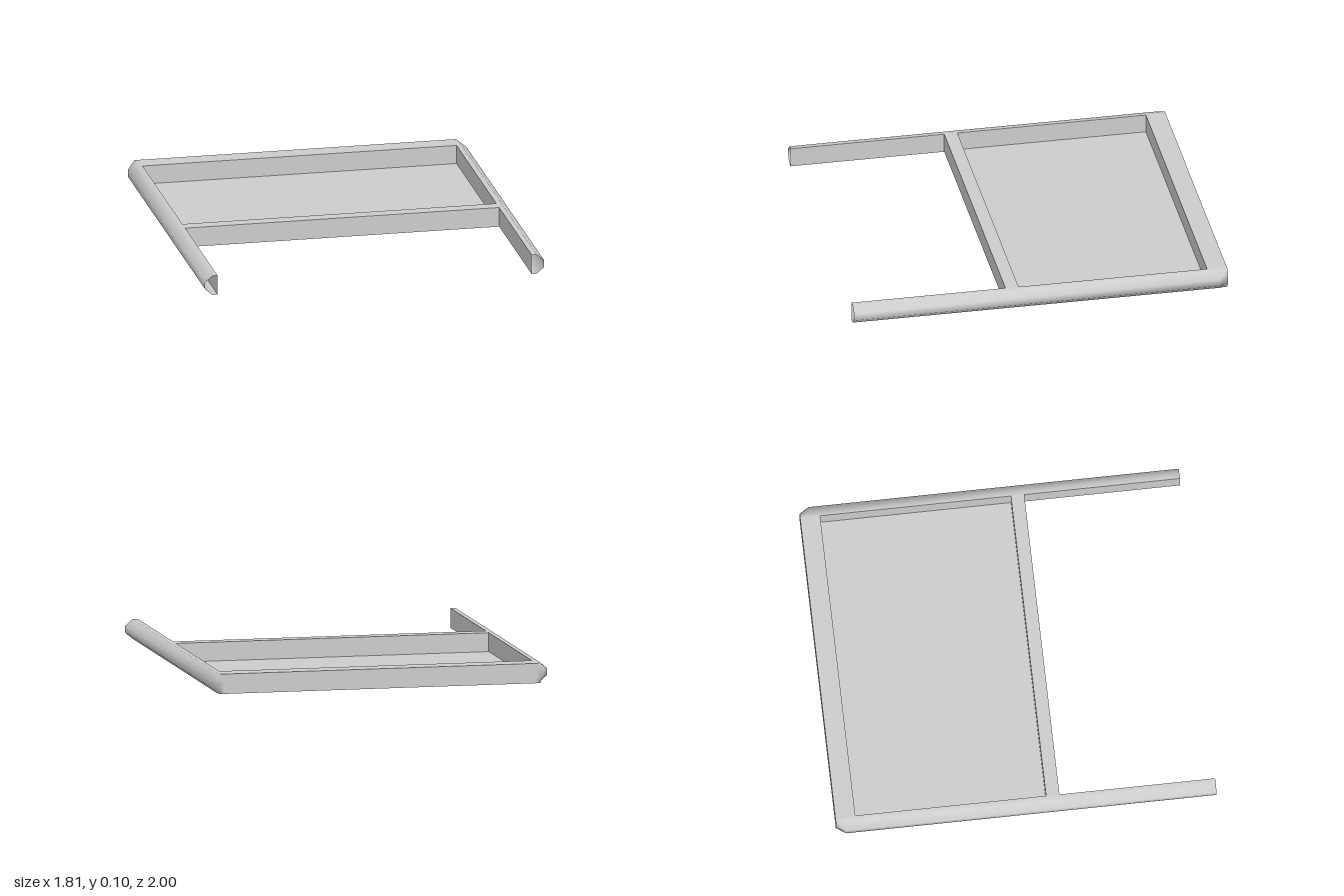
import * as THREE from 'three';

const H = 0.105;      // overall height
const INNER = 0.84;   // inner face of the rails

// Hollow rail skin: a rounded outer profile swept along z, bevelled and closed at the back
function railSkin(side) {
  const profile = [[0, H], [0.027, H], [0.067, 0.071], [0.067, 0.034], [0.027, 0], [0, 0]];
  const bevel = [0, 0.02, 0.034, 0.034, 0.02, 0];
  const sections = [
    [1, (p) => p[0]],
    [-0.95, (p) => p[0]],
    [-1, (p, j) => bevel[j]],
    [-1, () => 0],
  ];
  const n = profile.length, pos = [], idx = [];
  for (const [z, outX] of sections) {
    profile.forEach((p, j) => pos.push(side * (INNER + outX(p, j)), p[1], z));
  }
  for (let i = 0; i < sections.length - 1; i++) {
    for (let j = 0; j < n - 1; j++) {
      const a = i * n + j, b = a + 1, c = a + n, d = c + 1;
      if (side > 0) idx.push(a, b, c, b, d, c);
      else idx.push(a, c, b, b, c, d);
    }
  }
  const g = new THREE.BufferGeometry();
  g.setAttribute('position', new THREE.Float32BufferAttribute(pos, 3));
  g.setIndex(idx);
  g.computeVertexNormals();
  return g;
}

export function createModel() {
  const model = new THREE.Group();
  model.name = 'trayFrame';
  const grey = new THREE.MeshStandardMaterial({ color: 0xcccccc, side: THREE.DoubleSide });
  grey.name = 'lightGrey';

  const add = (name, geometry, x, y, z) => {
    const mesh = new THREE.Mesh(geometry, grey);
    mesh.name = name;
    mesh.position.set(x, y, z);
    model.add(mesh);
    return mesh;
  };

  // Side rails: open at the front, with a flat wall on the inside
  for (const side of [1, -1]) {
    const label = side > 0 ? 'left' : 'right';
    add(label + 'Rail', railSkin(side), 0, 0, 0);
    const wall = add(label + 'RailInnerWall', new THREE.PlaneGeometry(2, H), side * INNER, H / 2, 0);
    wall.rotation.y = -side * Math.PI / 2;
  }

  // Cross bars at the back and front of the tray
  const bar = (name, z0, z1) =>
    add(name, new THREE.BoxGeometry(2 * INNER, H, z1 - z0), 0, H / 2, (z0 + z1) / 2);
  bar('backBar', -1, -0.895);
  bar('frontBar', 0.11, 0.18);

  // Thin tray floor between the bars
  add('trayFloor', new THREE.BoxGeometry(2 * INNER, 0.005, 1.005), 0, 0.0025, -0.3925);

  return model;
}
